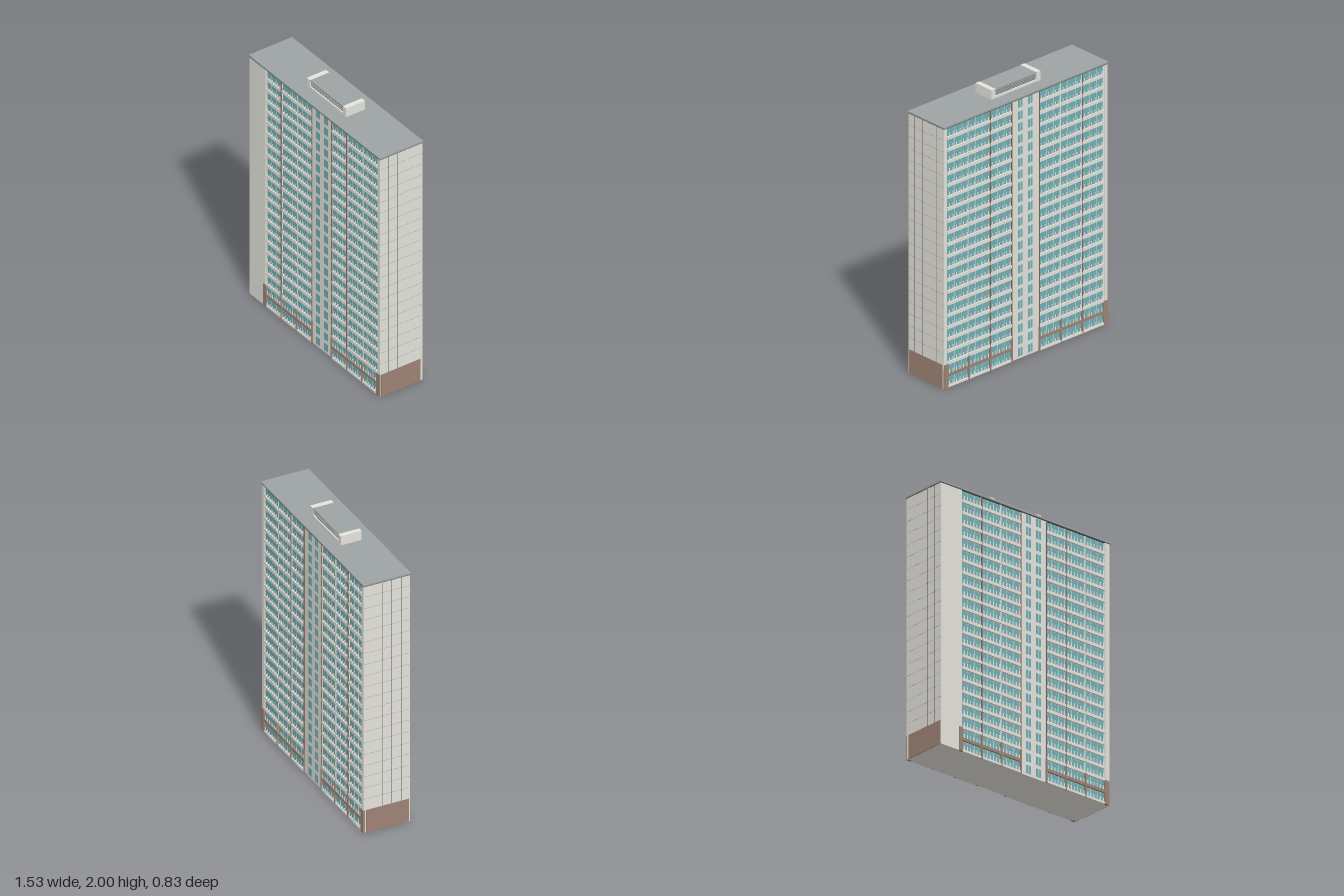
import * as THREE from 'three';
import { mergeGeometries } from 'three/addons/utils/BufferGeometryUtils.js';

const FLOORS = 22, PITCH = 1.92 / FLOORS, BASE = 0.175;
const HALF = 0.742, WALL = 0.162, OUT = 0.178;

export function createModel() {
  const mat = (name, color) => {
    const m = new THREE.MeshStandardMaterial({ color });
    m.name = name;
    return m;
  };
  const light = mat('pale concrete', 0xe4e3dc);
  const brown = mat('brown base', 0x9e8374);
  const teal = mat('teal glass', 0x72b0b5);
  const grey = mat('roof grey', 0x9da3a3);
  const dark = mat('dark joints', 0x5a5a58);
  const umber = mat('brown fins', 0x84695c);
  const seam = mat('seam grey', 0x9b9b95);

  // Boxes are gathered by part name, then merged into one mesh per part
  const parts = new Map();
  const box = (name, m, x0, x1, y0, y1, za, zb) => {
    const z0 = Math.min(za, zb), z1 = Math.max(za, zb);
    const g = new THREE.BoxGeometry(x1 - x0, y1 - y0, z1 - z0);
    g.translate((x0 + x1) / 2, (y0 + y1) / 2, (z0 + z1) / 2);
    if (!parts.has(name)) parts.set(name, { m, list: [] });
    parts.get(name).list.push(g);
  };

  // Core of the tower
  box('body', light, -HALF + 0.003, HALF - 0.003, 0, 1.915, -WALL, WALL);

  // One balcony bay on one floor; s is +1 for the front, -1 for the back
  const bay = (s, a, b, f) => {
    const y = f * PITCH, w = b - a;
    const [name, m] = f === 1 ? ['baseSlabs', brown] : ['balconySlabs', light];
    box(name, m, a, b, Math.max(0, y - 0.006), y + 0.016, s * WALL, s * (OUT - 0.003));
    box('balconyWindows', teal, a + 0.003, b - 0.003, y + 0.016, y + 0.079, s * WALL, s * (WALL + 0.002));
    for (const t of [0.3, 0.65])
      box('mullions', light, a + w * t - 0.002, a + w * t + 0.002, y + 0.016, y + 0.08, s * WALL, s * (WALL + 0.003));
    // Railing with broad, thin balusters
    const n = 6;
    for (let i = 0; i < n; i++) {
      const c = a + w * (i + 0.5) / n;
      box('balusters', light, c - 0.004, c + 0.004, y + 0.016, y + 0.043, s * (OUT - 0.006), s * (OUT - 0.003));
    }
  };

  // A wing of three bays; fins mark the middle bay and the side by the stairs
  const wing = (s, a, b, stairSide) => {
    const w = (b - a) / 3;
    for (let i = 0; i < 3; i++)
      for (let f = 0; f < FLOORS; f++) bay(s, a + i * w + 0.003, a + (i + 1) * w - 0.003, f);
    for (let i = 0; i <= 3; i++) {
      const x = a + i * w;
      box('partitions', light, x - 0.003, x + 0.003, BASE, 1.915, s * WALL, s * (WALL + 0.006));
      box('basePartitions', brown, x - 0.004, x + 0.004, 0, BASE, s * WALL, s * OUT);
      if (i === 1 || i === stairSide)
        box('fins', umber, x - 0.002, x + 0.002, BASE, 1.91, s * WALL, s * (OUT - 0.002));
    }
  };

  // Stair core with paired windows
  const stairs = (s, a, b) => {
    const mid = (a + b) / 2, z = 0.168;
    box('stairWall', light, a + 0.004, b - 0.004, 0, 1.915, s * WALL, s * z);
    for (let f = 0; f < FLOORS; f++)
      for (const c of [-0.057, -0.034, 0.034, 0.057])
        box('stairWindows', teal, mid + c - 0.0095, mid + c + 0.0095,
          f * PITCH + 0.018, f * PITCH + 0.077, s * z, s * (z + 0.002));
  };

  // Corner pier with a brown foot
  const pier = (s, a, b) => {
    box('piers', light, a, b, BASE, 1.915, s * WALL, s * (OUT - 0.004));
    box('pierFeet', brown, a, b, 0, BASE, s * WALL, s * OUT);
  };

  // Front: a blank wall, then the facade
  box('blankWall', light, -HALF, -0.583, 0, 1.915, WALL, 0.172);
  pier(1, -0.583, -0.558);
  wing(1, -0.555, -0.035, 3);
  stairs(1, -0.035, 0.19);
  wing(1, 0.19, 0.707, 0);
  pier(1, 0.71, HALF);

  // Back: symmetrical facade
  pier(-1, -HALF, -0.713);
  wing(-1, -0.71, -0.125, 3);
  stairs(-1, -0.125, 0.125);
  wing(-1, 0.125, 0.71, 0);
  pier(-1, 0.713, HALF);

  // End walls with panel seams and a brown foot
  for (const e of [-1, 1]) {
    const skin = (name, m, t, y0, y1, z0, z1) => {
      const p = e * (HALF - 0.004), q = e * (HALF + t);
      box(name, m, Math.min(p, q), Math.max(p, q), y0, y1, z0, z1);
    };
    skin('endWalls', light, 0, 0, 1.915, -0.172, 0.172);
    skin('endBases', brown, 0.002, 0, BASE, -0.155, 0.165);
    for (let f = 3; f < FLOORS; f++)
      skin('endSeams', seam, 0.0004, f * PITCH - 0.001, f * PITCH + 0.001, -0.17, 0.17);
    for (const z of [0.035, 0.109])
      skin('endJoints', dark, 0.0006, BASE, 1.915, z - 0.002, z + 0.002);
    for (const z of [-0.1, -0.034])
      skin('thinJoints', seam, 0.0005, BASE, 1.915, z - 0.001, z + 0.001);
  }

  // Flat roof over a thin shadow gap
  box('roofGap', dark, -HALF - 0.002, HALF + 0.002, 1.914, 1.919, -OUT + 0.001, OUT - 0.001);
  box('roof', grey, -HALF - 0.004, HALF + 0.004, 1.919, 1.93, -OUT, OUT);

  // Plant room: pale end blocks, louvred sides, grey lid
  for (const e of [-1, 1])
    box('plantRoomEnds', light, e * 0.204 - 0.018, e * 0.204 + 0.018, 1.928, 2, -0.078, 0.078);
  box('plantRoomCore', dark, -0.188, 0.188, 1.928, 1.99, -0.068, 0.068);
  box('plantRoomLid', grey, -0.187, 0.187, 1.992, 1.998, -0.077, 0.077);
  for (const s of [-1, 1]) {
    box('plantRoomSill', light, -0.187, 0.187, 1.928, 1.946, s * 0.06, s * 0.077);
    for (let i = 0; i < 4; i++)
      box('louvres', grey, -0.187, 0.187, 1.952 + i * 0.01, 1.957 + i * 0.01, s * 0.064, s * 0.072);
  }

  const tower = new THREE.Group();
  tower.name = 'tower';
  for (const [name, { m, list }] of parts) {
    const mesh = new THREE.Mesh(mergeGeometries(list), m);
    mesh.name = name;
    tower.add(mesh);
  }
  tower.rotation.y = -0.34;
  const model = new THREE.Group();
  model.name = 'apartmentBlock';
  model.add(tower);
  return model;
}
